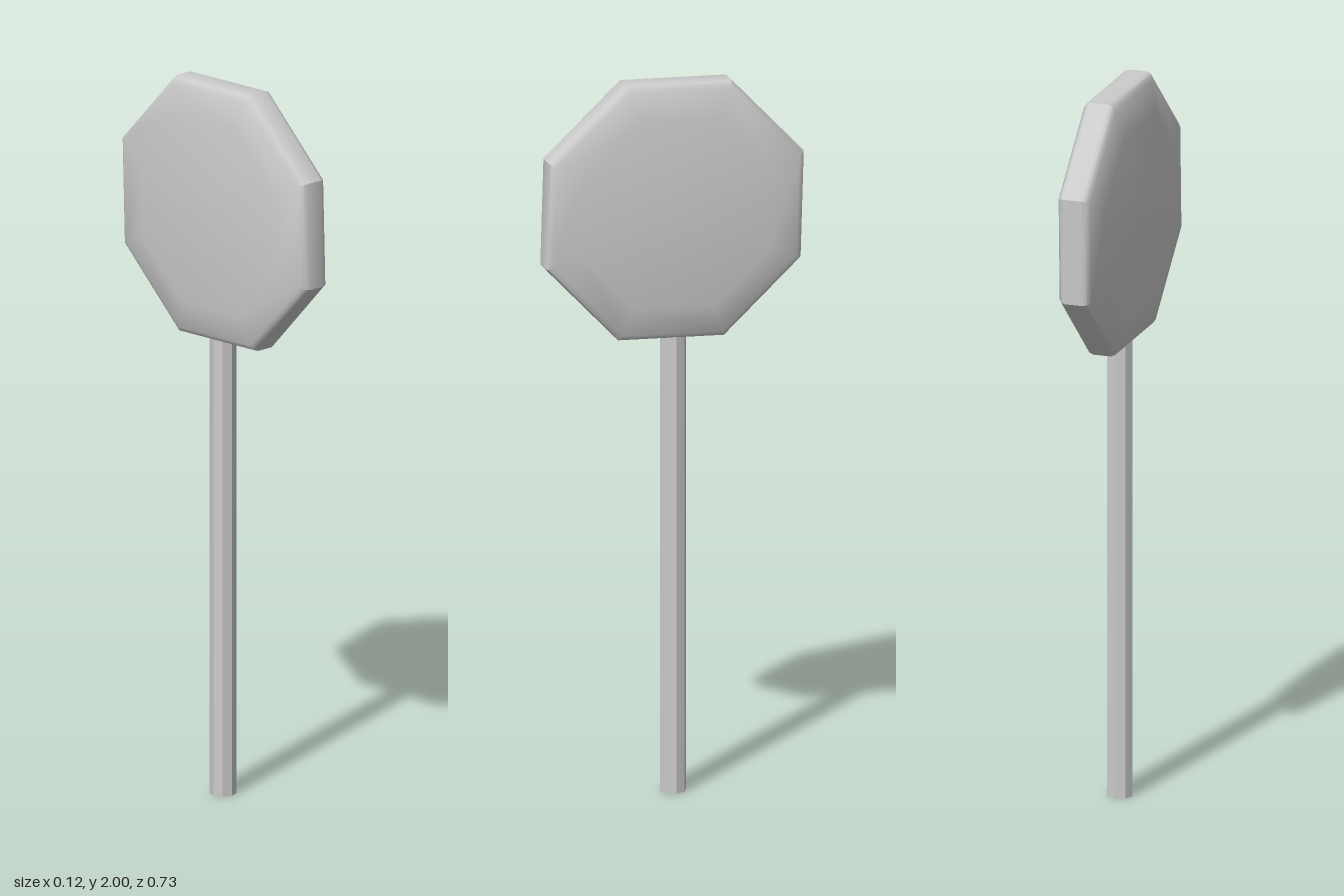
import * as THREE from 'three';
import { toCreasedNormals } from 'three/addons/utils/BufferGeometryUtils.js';

export function createModel() {
  const group = new THREE.Group();
  const material = new THREE.MeshStandardMaterial({ color: 0xcccccc });
  const centreY = 1.64;

  // Octagonal sign plate: bevelled profile, turned with its axis along x
  const half = [[0.388, 0.025], [0.383, 0.037], [0.369, 0.046], [0.285, 0.062], [0, 0.062]];
  const profile = [
    ...half.map(([r, x]) => new THREE.Vector2(r, -x)).reverse(),
    ...half.map(([r, x]) => new THREE.Vector2(r, x)),
  ];
  const tilt = THREE.MathUtils.degToRad(22.5 + 1.7);
  const plateGeometry = new THREE.LatheGeometry(profile, 8, tilt);
  plateGeometry.rotateZ(Math.PI / 2);
  const plate = new THREE.Mesh(toCreasedNormals(plateGeometry, 0.6), material);
  plate.name = 'signPlate';
  plate.position.y = centreY;
  group.add(plate);

  // Eight-sided hollow post
  const postHeight = 1.31;
  const postMaterial = new THREE.MeshStandardMaterial({
    color: 0xcccccc, flatShading: true, side: THREE.DoubleSide,
  });
  const post = new THREE.Mesh(
    new THREE.CylinderGeometry(0.036, 0.036, postHeight, 8, 1, true), postMaterial);
  post.name = 'post';
  post.position.set(-0.001, postHeight / 2, -0.003);
  group.add(post);

  return group;
}
